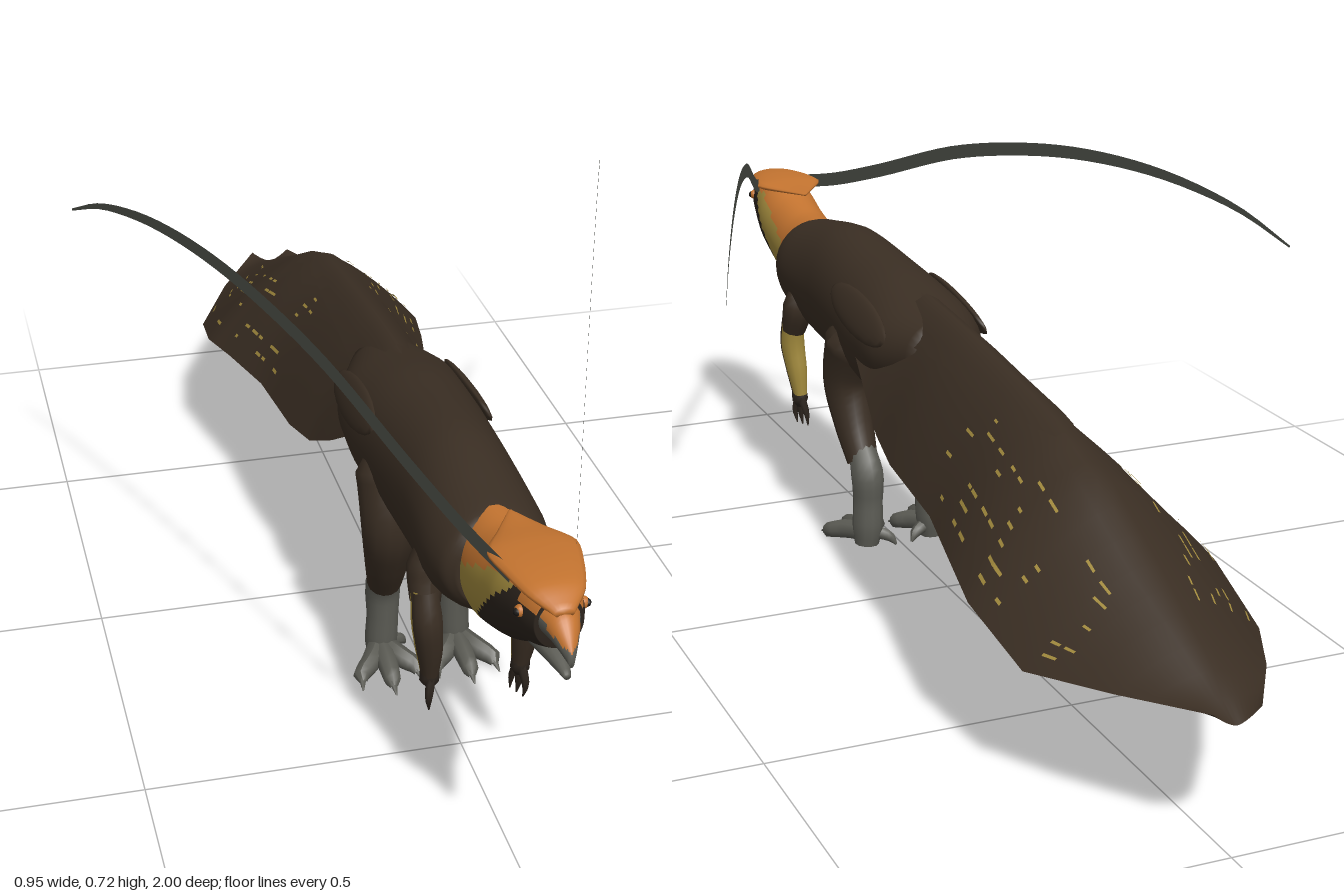
import * as THREE from 'three';
import { mergeGeometries } from 'three/addons/utils/BufferGeometryUtils.js';

const mat = (name, color, side = THREE.FrontSide) => {
  const m = new THREE.MeshStandardMaterial({ color, side });
  m.name = name;
  return m;
};

export function createModel() {
  const root = new THREE.Group();
  root.name = 'plumedBird';
  const brown = mat('brownFeathers', 0x3a2e23, THREE.DoubleSide);
  const orange = mat('orangeCrown', 0xc47430);
  const yellow = mat('yellowFeathers', 0xa48c3e, THREE.DoubleSide);
  const navy = mat('navyThroat', 0x161d33);
  const face = mat('darkFace', 0x2c241d);
  const grey = mat('greySkin', 0x5b5b54);
  const plumeGrey = mat('plumeGrey', 0x4c4f48, THREE.DoubleSide);
  const black = mat('blackPupil', 0x1c1a18);

  const add = (name, geo, material, parent = root) => {
    const m = new THREE.Mesh(geo, material);
    m.name = name;
    parent.add(m);
    return m;
  };

  // Indexed grid of points, rows x (cols + 1); pick() gives a material index per quad
  function grid(rows, cols, point, pick = () => 0) {
    const pos = [], lists = [];
    for (let i = 0; i <= rows; i++)
      for (let j = 0; j <= cols; j++) pos.push(...point(i / rows, j / cols));
    for (let i = 0; i < rows; i++)
      for (let j = 0; j < cols; j++) {
        const a = i * (cols + 1) + j, b = a + cols + 1;
        const c = point((i + 0.5) / rows, (j + 0.5) / cols);
        (lists[pick(...c)] ??= []).push(a, b, a + 1, b, b + 1, a + 1);
      }
    const g = new THREE.BufferGeometry();
    g.setAttribute('position', new THREE.Float32BufferAttribute(pos, 3));
    let start = 0;
    lists.forEach((l, k) => { g.addGroup(start, l.length, k); start += l.length; });
    g.setIndex(lists.flat());
    g.computeVertexNormals();
    return g;
  }

  // Smooth interpolation through rows of [z, top, bottom, halfWidth]
  function spline(rows) {
    const make = f => new THREE.CatmullRomCurve3(rows.map(f), false, 'catmullrom', 0.4);
    const a = make(r => new THREE.Vector3(r[0], r[1], r[2])), b = make(r => new THREE.Vector3(r[3], 0, 0));
    return t => { const p = a.getPoint(t); return [p.x, p.y, p.z, b.getPoint(t).x]; };
  }

  // Oval loft along z, closed at both ends; rows run from front to back
  function loft(rows, n, cols, pick) {
    const f = spline(rows);
    return grid(n + 2, cols, (u, v) => {
      const s = u * (n + 2) - 1, [z, top, bot, w] = f(THREE.MathUtils.clamp(s / n, 0, 1));
      const k = s < 0 ? 1 + s : s > n ? n + 1 - s : 1, a = v * Math.PI * 2 - Math.PI / 2;
      return [Math.cos(a) * w * k, (top + bot) / 2 + Math.sin(a) * (top - bot) / 2 * k, z];
    }, pick);
  }

  // Tapered limb through [x, y, z, radius]
  function limb(pts, n = 14, sides = 10) {
    const c = new THREE.CatmullRomCurve3(pts.map(p => new THREE.Vector3(p[0], p[1], p[2])));
    const g = new THREE.TubeGeometry(c, n, 1, sides), p = g.attributes.position, v = new THREE.Vector3();
    for (let i = 0; i <= n; i++) {
      const o = c.getPointAt(i / n), t = c.getUtoTmapping(i / n) * (pts.length - 1);
      const k = Math.min(Math.floor(t), pts.length - 2);
      const r = THREE.MathUtils.lerp(pts[k][3], pts[k + 1][3], t - k);
      for (let j = 0; j <= sides; j++) {
        const q = i * (sides + 1) + j;
        v.fromBufferAttribute(p, q).sub(o).multiplyScalar(r).add(o);
        p.setXYZ(q, v.x, v.y, v.z);
      }
    }
    g.computeVertexNormals();
    return g;
  }

  // Body with yellow vent and belly patches
  add('body', loft([[.68, .49, .36, .062], [.66, .508, .345, .083], [.6, .52, .325, .094], [.46, .542, .302, .092],
    [.3, .53, .3, .1], [.2, .52, .29, .106], [.1, .5, .325, .104], [0, .48, .37, .06]], 32, 32,
  (x, y, z) => ((z < .32 && z > .08 && y < .322) || (z > .38 && z < .5 && y < .308) ? 1 : 0)), [brown, yellow]);

  // Neck and head, coloured in zones
  add('neckAndHead', loft([[.945, .542, .462, .034], [.92, .55, .448, .043], [.88, .552, .43, .052], [.83, .548, .402, .06],
    [.77, .528, .376, .06], [.7, .513, .352, .06], [.63, .512, .355, .056]], 44, 52, (x, y, z) => {
    if (y > (z > .9 ? .518 : Math.min(.525, .44 + (z - .67) * .5))) return 0;
    if (Math.abs(x) < .036 && y < .45 && z < .8) return 2;
    return z < .81 - (.46 - y) * 1.1 ? 1 : 3;
  }), [orange, yellow, navy, face]);
  add('crest', loft([[.965, .535, .52, .014], [.93, .552, .525, .04], [.88, .557, .53, .055], [.82, .556, .532, .064],
    [.77, .55, .536, .034], [.72, .546, .541, .003]], 20, 18), orange);
  add('upperBeak', loft([[1, .486, .466, .004], [.985, .507, .474, .013], [.965, .526, .48, .022],
    [.93, .536, .48, .034]], 14, 20, (x, y, z) => (y > .487 + (1 - z) * .55 ? 1 : 0)), [grey, orange]);
  add('lowerBeak', loft([[.985, .447, .438, .005], [.95, .46, .437, .015], [.9, .475, .437, .03]], 8, 12), grey);

  // Tent-shaped tail sheet: rows of [z, ridge, edge, half width]
  const tailRows = [[.2, .512, .41, .1], [.1, .502, .35, .114], [0, .495, .3, .13], [-.1, .486, .282, .144], [-.3, .46, .266, .155],
    [-.45, .437, .255, .185], [-.57, .4, .237, .205], [-.73, .325, .195, .19], [-.87, .262, .21, .12], [-1, .2, .222, .037]];
  const tailPoint = (t, u, lift = 0) => {
    const s = t * (tailRows.length - 1), k = Math.min(Math.floor(s), tailRows.length - 2);
    const [z, top, edge, w] = tailRows[k].map((q, i) => THREE.MathUtils.lerp(q, tailRows[k + 1][i], s - k));
    return [w * u, top - (top - edge) * Math.pow(Math.abs(u), 1.5) + lift, z];
  };
  add('tail', grid(27, 16, (t, v) => tailPoint(t, 1 - 2 * v)), brown);
  // Long covert feather lying along the tail ridge
  add('tailCovert', grid(14, 6, (t, v) =>
    tailPoint(.12 + t * .45, (1 - 2 * v) * .5 * Math.sqrt(1.04 - t), .007)), brown);

  // Fine yellow dashes in rows on both faces of the tail, longer and denser below
  let seed = 7;
  const rnd = () => (seed = (seed * 16807) % 2147483647) / 2147483647;
  const dashes = (count, lift, t0, t1, length) => mergeGeometries(Array.from({ length: count }, (_, i) => {
    const side = i % 2 ? 1 : -1, t = t0 + rnd() * (t1 - t0), u = .34 + Math.floor(rnd() * 7) * .09;
    const len = length * (.4 + rnd() * .6);
    return grid(1, 1, (a, b) => tailPoint(t + a * len, side * (u + b * .02), lift));
  }));
  add('upperTailDashes', dashes(80, .005, .42, .82, .022), yellow);
  add('lowerTailDashes', dashes(130, -.006, .25, .82, .06), yellow);

  for (const s of [1, -1]) {
    const name = s > 0 ? 'left' : 'right';
    const part = (label, pts, m, n, k) => add(name + label, limb(pts.map(([x, ...r]) => [x * s, ...r]), n, k), m);

    // Folded wing lying against the flank
    const wing = add(name + 'Wing', new THREE.SphereGeometry(1, 16, 10), brown);
    wing.scale.set(.01, .034, .13);
    wing.position.set(.094 * s, .458, .18);
    wing.rotation.set(-.12, 0, .45 * s);

    // Leg: thigh, scaly shank, toes and claws
    part('Thigh', [[.055, .44, .25, .02], [.058, .38, .28, .058], [.066, .3, .305, .047], [.066, .23, .285, .037], [.062, .16, .25, .028]], brown, 18, 14);
    part('Shank', [[.062, .19, .262, .024], [.06, .14, .232, .03], [.06, .09, .23, .027], [.062, .04, .228, .028], [.064, .008, .228, .022]], grey, 14, 12);
    [[.018, .305], [.066, .335], [.112, .31]].forEach(([x, z]) => {
      part('Toe', [[.064, .03, .225, .018], [(x + .064) / 2, .024, (z + .23) / 2, .018], [x, .015, z - .012, .014], [x, .01, z, .006]], grey, 8, 8);
      part('Claw', [[x, .014, z - .006, .008], [x + (x - .064) * .08, .004, z + .016, .001]], grey, 3, 6);
    });
    part('BackToe', [[.05, .03, .225, .013], [.025, .02, .212, .01], [.015, .006, .205, .002]], grey, 6, 8);

    // Arm: brown shoulder, yellow forearm with a brown front, dark hand with fingers
    part('UpperArm', [[.06, .42, .56, .02], [.074, .37, .555, .03], [.08, .32, .572, .023]], brown, 8, 10);
    part('Forearm', [[.082, .34, .568, .02], [.08, .29, .577, .023], [.075, .24, .571, .02], [.071, .19, .565, .013]], yellow, 10, 12);
    part('ForearmFront', [[.081, .34, .574, .02], [.079, .29, .584, .0235], [.074, .24, .578, .0205], [.071, .19, .57, .0135]], brown, 10, 12);
    part('Hand', [[.072, .21, .57, .014], [.071, .18, .568, .016], [.07, .165, .567, .006]], face, 6, 8);
    for (const d of [-1, 0, 1])
      part('Finger', [[.071, .185, .568 + d * .008, .008], [.07 + d * .006, .155, .568 + d * .016, .006], [.068 + d * .006, .13, .564 + d * .014, .001]], face, 6, 6);

    // Eye
    const eye = add(name + 'Eye', new THREE.SphereGeometry(.009, 10, 8), orange);
    eye.position.set(.043 * s, .506, .912);
    const pupil = add(name + 'Pupil', new THREE.SphereGeometry(.006, 8, 6), black);
    pupil.position.set(.048 * s, .506, .914);

    // Long arching ribbon plume from the brow
    const curve = new THREE.CatmullRomCurve3([[.045, .535], [.08, .556], [.126, .595], [.2, .665], [.26, .699], [.31, .714],
      [.36, .714], [.4, .702], [.44, .677], [.475, .637]].map(([x, y]) => new THREE.Vector3(x * s, y, .83 - (x - .06) * 2.72)));
    const out = new THREE.Vector3(2.72 * s, 0, 1).normalize();
    add(name + 'Plume', grid(36, 1, (t, v) => {
      const up = curve.getTangentAt(t).cross(out).normalize();
      if (up.y < 0) up.negate();
      return curve.getPointAt(t).addScaledVector(up, (v - .5) * .025 * (1 - .85 * Math.pow(t, 4))).toArray();
    }), plumeGrey);
  }
  return root;
}
